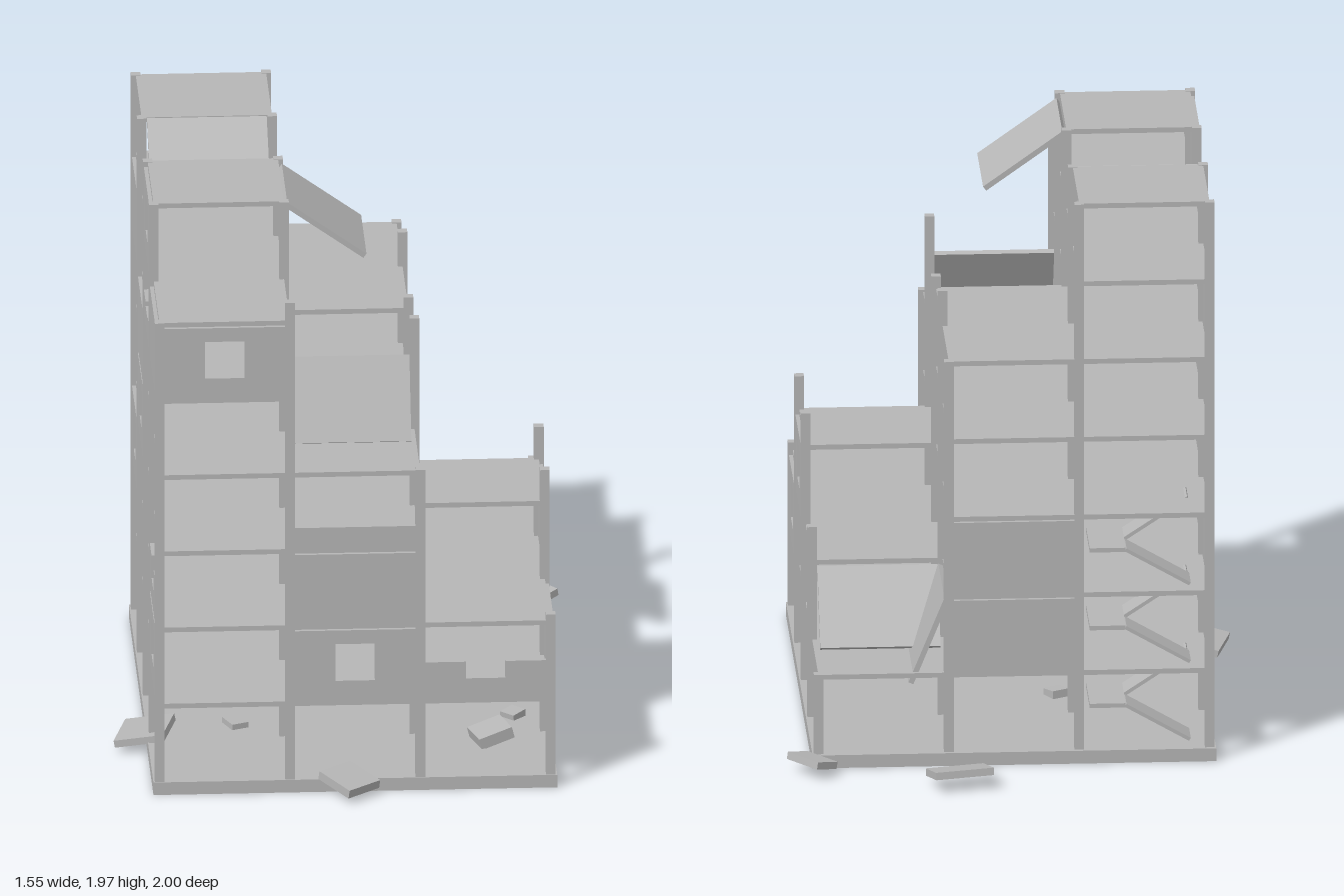
import * as THREE from 'three';

export function createModel() {
  const model = new THREE.Group();
  model.name = 'ruinedBuilding';
  const concrete = new THREE.MeshStandardMaterial({ color: 0xb6b6b6 });
  concrete.name = 'concrete grey';

  // Grid of columns and floor levels
  const X = [-0.648, -0.212, 0.224, 0.66];
  const Z = [-0.68, -0.295, 0.09, 0.475, 0.86];
  const COL = 0.032, SLAB = 0.017;
  const level = (k) => 0.045 + k * 0.2743;

  const add = (name, geometry) => {
    const mesh = new THREE.Mesh(geometry, concrete);
    mesh.name = name;
    model.add(mesh);
    return mesh;
  };
  const box = (name, w, h, d, x, y, z) => {
    const mesh = add(name, new THREE.BoxGeometry(w, h, d));
    mesh.position.set(x, y, z);
    return mesh;
  };

  // Foundation
  box('foundation', 1.35, 0.045, 1.59, 0.006, 0.0225, 0.086);

  // Floors: surviving storeys of each bay, [x bay][z bay]
  const storeys = [
    [7, 6, 7, 6],
    [5, 5, 3, 4],
    [1, 2, 3, 2],
  ];
  storeys.forEach((row, i) => row.forEach((count, j) => {
    for (let k = 1; k <= count; k++) {
      box('floorSlab', X[i + 1] - X[i], SLAB, Z[j + 1] - Z[j],
        (X[i] + X[i + 1]) / 2, level(k) - SLAB / 2, (Z[j] + Z[j + 1]) / 2);
    }
  }));

  // Columns: top heights, [x line][z line]
  const tops = [
    [1.967, 1.967, 1.967, 1.967, 1.695],
    [1.967, 1.967, 1.967, 1.967, 1.76],
    [1.42, 1.54, 1.46, 1.54, 1.15],
    [0.325, 0.715, 0.985, 0.985, 0.62],
  ];
  tops.forEach((row, i) => row.forEach((top, j) => {
    box('column', COL, top - 0.04, COL, X[i], (top + 0.04) / 2, Z[j]);
  }));

  // Wall panels: optional window, optionally broken off at a cut height
  const FULL = 0.2743 - SLAB;
  function panel(width, height, hasWindow) {
    const w = width / 2, o = 0.066, sill = 0.076, head = 0.208;
    const s = new THREE.Shape();
    s.moveTo(-w, 0);
    s.lineTo(w, 0);
    s.lineTo(w, height);
    if (hasWindow && height < head) {
      s.lineTo(o, height);
      s.lineTo(o, sill);
      s.lineTo(-o, sill);
      s.lineTo(-o, height);
    }
    s.lineTo(-w, height);
    s.closePath();
    if (hasWindow && height >= head) {
      const hole = new THREE.Path();
      hole.moveTo(-o, sill);
      hole.lineTo(-o, head);
      hole.lineTo(o, head);
      hole.lineTo(o, sill);
      hole.closePath();
      s.holes.push(hole);
    }
    const g = new THREE.ExtrudeGeometry(s, { depth: 0.016, bevelEnabled: false });
    return g.translate(0, 0, -0.008);
  }
  // [bay, storey, window, height]
  const faces = {
    front: [[0, 5, true], [1, 1, true], [1, 2, false], [1, 3, false, 0.08], [2, 1, true, 0.136]],
    back: [[1, 1, false], [1, 2, false]],
    right: [[3, 1, true], [2, 2, true]],
    left: [[0, 2, true], [0, 5, false], [1, 3, true], [1, 4, false], [2, 5, true, 0.092],
      [2, 6, true], [3, 1, true], [3, 2, true, 0.156], [3, 5, false]],
  };
  for (const [side, list] of Object.entries(faces)) {
    const alongX = side === 'front' || side === 'back';
    const line = alongX ? X : Z;
    for (const [b, k, hasWindow, height = FULL] of list) {
      const wall = add(side + 'Wall', panel(line[b + 1] - line[b] - COL, height, hasWindow));
      const mid = (line[b] + line[b + 1]) / 2;
      if (alongX) wall.position.set(mid, level(k), side === 'front' ? Z[4] + 0.005 : Z[0] - 0.005);
      else {
        wall.position.set(side === 'right' ? X[3] + 0.005 : X[0] - 0.005, level(k), mid);
        wall.rotation.y = Math.PI / 2;
      }
    }
  }

  // Sloping plate from (a0, y0) to (a1, y1) along one axis, spanning c0..c1 on the other
  function ramp(name, axis, a0, y0, a1, y1, c0, c1, t) {
    const length = Math.hypot(a1 - a0, y1 - y0);
    const a = (a0 + a1) / 2, y = (y0 + y1) / 2, c = (c0 + c1) / 2, span = c1 - c0;
    if (axis === 'x') {
      box(name, length, t, span, a, y, c).rotation.z = Math.atan2(y1 - y0, a1 - a0);
    } else {
      box(name, span, t, length, c, y, a).rotation.x = -Math.atan2(y1 - y0, a1 - a0);
    }
  }

  // Collapsed floor slabs
  ramp('hangingSlab', 'z', -0.295, 1.957, -0.06, 1.785, -0.63, -0.23, 0.018);
  ramp('hangingSlab', 'x', -0.205, 1.945, 0.06, 1.755, 0.108, 0.455, 0.018);
  ramp('hangingSlab', 'z', 0.477, 1.405, 0.607, 1.145, -0.193, 0.207, 0.018);
  ramp('hangingSlab', 'x', 0.23, 0.575, 0.35, 0.28, -0.668, -0.305, 0.018);
  ramp('hangingSlab', 'z', -0.298, 0.57, -0.472, 0.34, 0.24, 0.642, 0.018);

  // Stairs: two flights and a landing per storey
  for (let k = 0; k < 3; k++) {
    const y0 = level(k), y1 = level(k + 1), ym = (y0 + y1) / 2 - 0.005;
    ramp('lowerStairFlight', 'x', -0.585, y0 + 0.008, -0.37, ym, -0.635, -0.532, 0.012);
    ramp('upperStairFlight', 'x', -0.37, ym, -0.585, y1, -0.525, -0.422, 0.012);
    box('stairLanding', 0.12, 0.015, 0.213, -0.31, ym, -0.5285);
  }

  // Fallen rubble: [x, y, z, width, height, depth, turn, tiltX, tiltZ]
  const rubble = [
    [0.2, 0.05, -0.917, 0.2, 0.025, 0.13, 0.22, 0.2, 0],
    [0.685, 0.045, -0.757, 0.09, 0.025, 0.15, 0.68, 0, 0.2],
    [-0.675, 0.047, 0.42, 0.17, 0.025, 0.2, -0.25, 0, 0.2],
    [-0.015, 0.048, 0.895, 0.14, 0.03, 0.15, 0.7, 0.18, 0],
    [0.475, 0.075, 0.565, 0.12, 0.04, 0.12, 0.3, 0, 0.25],
    [-0.37, 0.052, 0.38, 0.06, 0.025, 0.08, 0.4, 0, 0],
    [-0.165, 0.055, -0.13, 0.06, 0.028, 0.06, 0.5, 0.1, 0],
    [0.56, 0.054, 0.35, 0.06, 0.025, 0.06, 0.8, 0, 0.1],
  ];
  for (const [x, y, z, w, h, d, turn, tiltX, tiltZ] of rubble) {
    box('rubble', w, h, d, x, y, z).rotation.set(tiltX, turn, tiltZ, 'YXZ');
  }
  return model;
}
